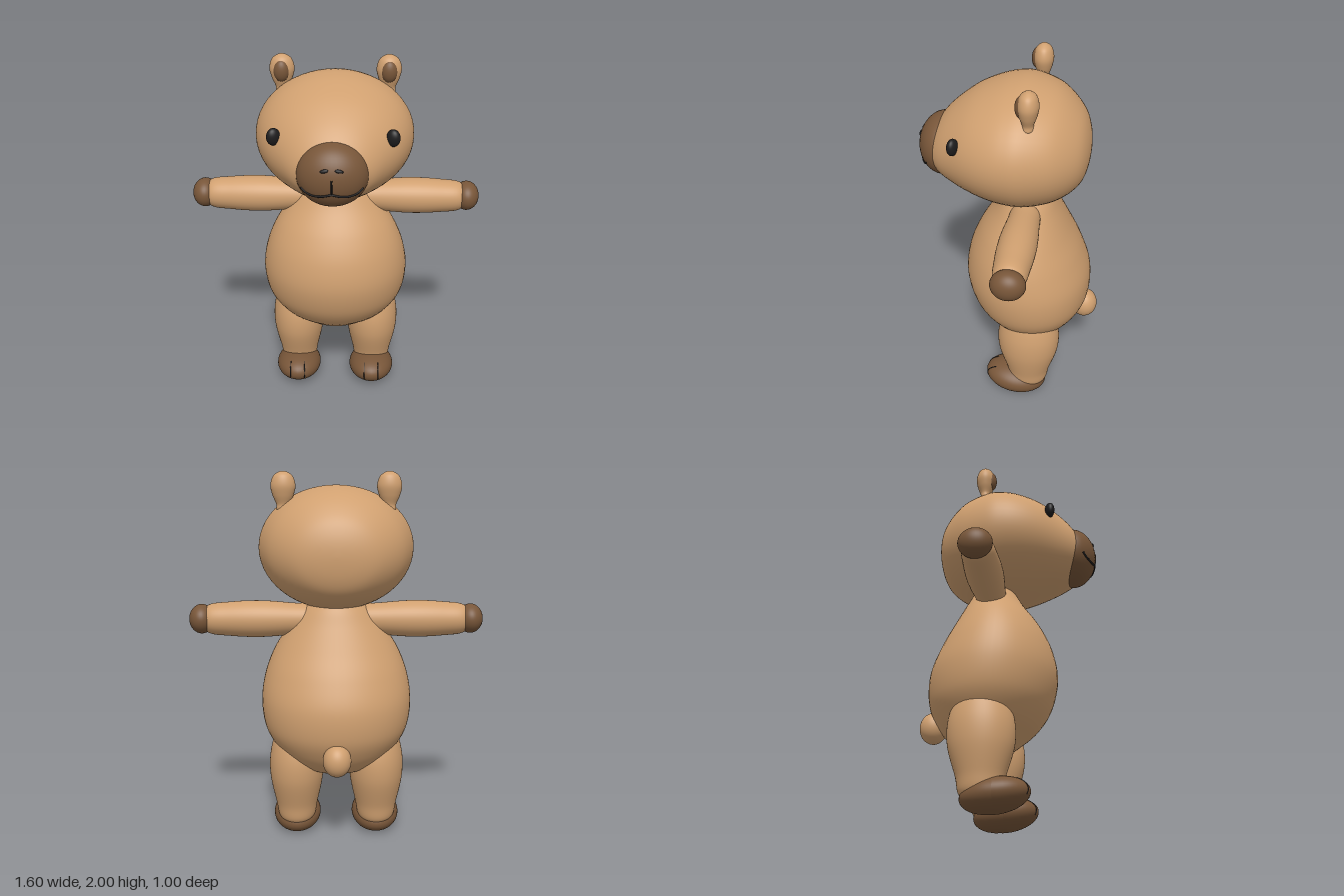
import * as THREE from 'three';

const mat = (name, color) => {
  const m = new THREE.MeshStandardMaterial({ color });
  m.name = name;
  return m;
};

// Smooth closed skin through elliptical sections [t, low, high, halfWidth] along y or z
function loft(sections, axis, steps = 8, sides = 56) {
  const s = sections.map(([t, lo, hi, w]) => [t, (lo + hi) / 2, (hi - lo) / 2, w]);
  const ghost = ([t, c, b, a]) => [t, c, -b, -a]; // mirrored end section keeps the poles round
  const keys = [ghost(s[1]), ...s, ghost(s[s.length - 2])];
  const rings = [];
  for (let i = 1; i < keys.length - 2; i++) {
    for (let k = 0; k < steps; k++) {
      const u = k / steps;
      rings.push(keys[i].map((p1, j) => {
        const p0 = keys[i - 1][j], p2 = keys[i + 1][j], p3 = keys[i + 2][j];
        return 0.5 * (2 * p1 + (p2 - p0) * u + (2 * p0 - 5 * p1 + 4 * p2 - p3) * u * u
          + (3 * p1 - p0 - 3 * p2 + p3) * u * u * u);
      }));
    }
  }
  rings.push(s[s.length - 1]);
  const pos = [], idx = [];
  rings.forEach(([t, c, b, a], r) => {
    for (let i = 0; i < sides; i++) {
      const th = (i / sides) * Math.PI * 2;
      const x = a * Math.cos(th), v = c + b * Math.sin(th);
      if (axis === 'y') pos.push(x, t, v);
      else pos.push(x, v, t);
      if (r === rings.length - 1) continue;
      const p = r * sides + i, q = r * sides + (i + 1) % sides;
      const pu = p + sides, qu = q + sides;
      if (axis === 'y') idx.push(p, pu, q, q, pu, qu);
      else idx.push(p, q, pu, q, qu, pu);
    }
  });
  const g = new THREE.BufferGeometry();
  g.setAttribute('position', new THREE.Float32BufferAttribute(pos, 3));
  g.setIndex(idx);
  g.computeVertexNormals();
  return g;
}

// Lathe from a few [radius, height] points
const turned = (pts) => new THREE.LatheGeometry(
  new THREE.SplineCurve(pts.map(([r, h]) => new THREE.Vector2(r, h))).getPoints(40)
    .map((p) => new THREE.Vector2(Math.max(p.x, 0), p.y)), 40);

const ball = (rx, ry, rz) => new THREE.SphereGeometry(1, 40, 28).scale(rx, ry, rz);

export function createModel() {
  const root = new THREE.Group();
  const fur = mat('tan fur', 0xd0a070);
  const brown = mat('brown skin', 0x785639);
  const black = mat('black', 0x1d1c1d);

  const add = (name, geo, material, x = 0, y = 0, z = 0) => {
    const m = new THREE.Mesh(geo, material);
    m.name = name;
    m.position.set(x, y, z);
    root.add(m);
    return m;
  };
  const line = (name, pts, r) => add(name, new THREE.TubeGeometry(
    new THREE.CatmullRomCurve3(pts), 24, r, 8), black);

  // Pear-shaped body: y, back z, front z, half width
  add('body', loft([
    [0.355, -0.13, -0.13, 0], [0.375, -0.25, -0.02, 0.14], [0.43, -0.335, 0.06, 0.24],
    [0.51, -0.4, 0.15, 0.325], [0.62, -0.445, 0.22, 0.39], [0.77, -0.447, 0.255, 0.412],
    [0.92, -0.395, 0.235, 0.39], [1.06, -0.325, 0.175, 0.335], [1.19, -0.262, 0.09, 0.25],
    [1.28, -0.22, 0.04, 0.175], [1.34, -0.17, 0, 0.1], [1.36, -0.09, -0.09, 0],
  ], 'y'), fur);
  add('tail', ball(0.075, 0.087, 0.075), fur, 0, 0.515, -0.427);

  // Head tapering to the muzzle: z, bottom y, top y, half width
  add('head', loft([
    [-0.412, 1.575, 1.575, 0], [-0.395, 1.45, 1.69, 0.15], [-0.345, 1.365, 1.785, 0.256],
    [-0.24, 1.298, 1.88, 0.355], [-0.1, 1.266, 1.927, 0.412], [0, 1.272, 1.923, 0.418],
    [0.1, 1.292, 1.893, 0.395], [0.2, 1.32, 1.845, 0.345], [0.3, 1.353, 1.77, 0.268],
    [0.37, 1.39, 1.695, 0.2], [0.41, 1.44, 1.625, 0.13], [0.425, 1.53, 1.53, 0],
  ], 'z'), fur);
  add('muzzle', ball(0.182, 0.167, 0.135), brown, 0, 1.533, 0.36);

  // Nose and mouth follow the muzzle surface
  const onMuzzle = (x, y) => new THREE.Vector3(x, y,
    0.36 + 0.135 * Math.sqrt(Math.max(0, 1 - (x / 0.182) ** 2 - ((y - 1.533) / 0.167) ** 2)));
  line('mouthCentre', [onMuzzle(0, 1.553), onMuzzle(0, 1.515), onMuzzle(0, 1.475)], 0.004);
  line('mouth', [[-0.152, 1.487], [-0.125, 1.467], [-0.085, 1.459], [-0.04, 1.464], [0, 1.475],
    [0.04, 1.464], [0.085, 1.459], [0.125, 1.467], [0.152, 1.487]].map((p) => onMuzzle(...p)), 0.006);

  const armGeo = turned([[0, 0.08], [0.072, 0.13], [0.088, 0.25], [0.1, 0.42],
    [0.093, 0.58], [0.074, 0.7], [0, 0.72]]).rotateZ(-Math.PI / 2);
  const legGeo = loft([
    [0.05, -0.13, -0.13, 0], [0.08, -0.23, -0.03, 0.09], [0.18, -0.257, -0.003, 0.117],
    [0.34, -0.302, 0.043, 0.148], [0.48, -0.3, 0.04, 0.143], [0.6, -0.25, -0.01, 0.1],
    [0.66, -0.13, -0.13, 0],
  ], 'y');
  const earGeo = turned([[0, -0.13], [0.034, -0.115], [0.036, -0.085], [0.055, -0.04],
    [0.066, 0.01], [0.052, 0.058], [0.022, 0.081], [0, 0.085]]).scale(1, 1, 0.8);

  // Foot: sheared ball with a flat sole
  const footHeight = (y, z) => Math.max(0, y + 0.1 * z + 0.083);
  const footGeo = ball(0.133, 0.09, 0.178);
  const fp = footGeo.attributes.position;
  for (let i = 0; i < fp.count; i++) fp.setY(i, footHeight(fp.getY(i), fp.getZ(i)));
  footGeo.computeVertexNormals();

  for (const s of [1, -1]) {
    const side = s > 0 ? 'left' : 'right';
    const arm = add(side + 'Arm', armGeo, fur, 0, 1.215, -0.093);
    if (s < 0) arm.rotation.y = Math.PI;
    add(side + 'Hand', ball(0.068, 0.08, 0.088), brown, s * 0.732, 1.216, -0.096);
    add(side + 'Leg', legGeo, fur, s * 0.223, 0, 0);
    add(side + 'Foot', footGeo, brown, s * 0.223, 0, -0.057);

    // Toe creases
    for (const d of [-0.042, 0.042]) {
      const k = Math.sqrt(1 - (d / 0.133) ** 2);
      line(side + 'ToeCrease', [-0.3, 0, 0.3, 0.6, 0.85].map((a) => {
        const z = 0.178 * k * Math.cos(a);
        return new THREE.Vector3(s * 0.223 + d, footHeight(0.09 * k * Math.sin(a), z), z - 0.057);
      }), 0.0025);
    }

    add(side + 'Ear', earGeo, fur, s * 0.28, 1.915, -0.118);
    add(side + 'InnerEar', ball(0.042, 0.058, 0.034), brown, s * 0.281, 1.918, -0.088);
    add(side + 'Eye', ball(0.036, 0.045, 0.026), black, s * 0.298, 1.68, 0.25).rotation.y = -s * 0.4;

    const n = onMuzzle(s * 0.036, 1.596);
    add(side + 'Nostril', ball(0.021, 0.009, 0.006), black, n.x, n.y, n.z).rotation.set(-0.4, s * 0.15, -s * 0.15);
  }
  return root;
}
